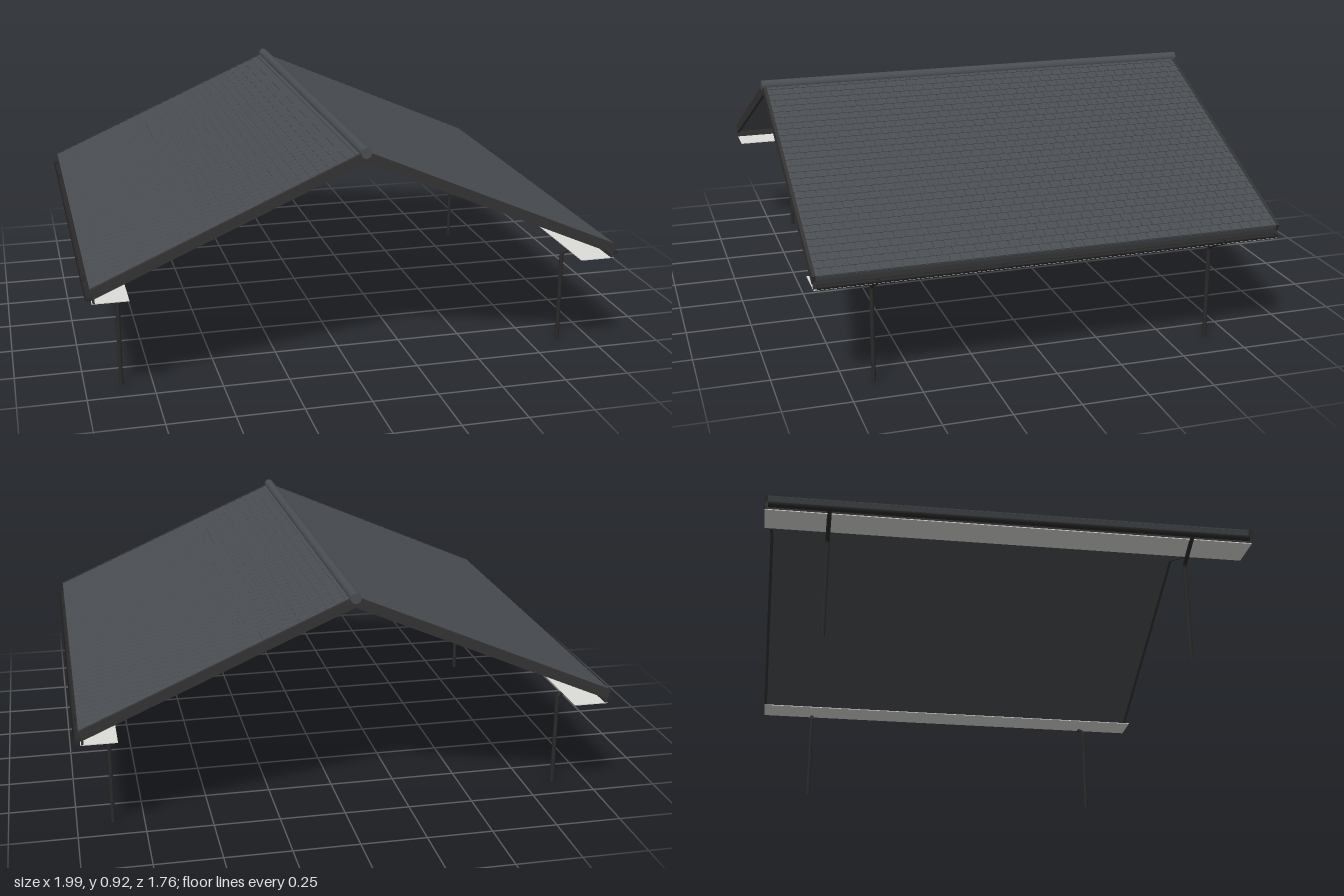
import * as THREE from 'three';
import { mergeGeometries } from 'three/addons/utils/BufferGeometryUtils.js';

const mat = (name, color, side = THREE.FrontSide) => {
  const m = new THREE.MeshStandardMaterial({ color, side });
  m.name = name;
  return m;
};

export function createModel() {
  const tileGrey = mat('tileGrey', 0x4a4e53);
  const trimDark = mat('trimDark', 0x343434);
  const gutterBlack = mat('gutterBlack', 0x2a2a2a, THREE.DoubleSide);
  const soffitWhite = mat('soffitWhite', 0xdcdcd8);

  const ANGLE = Math.atan(0.437), LENGTH = 1.068, HALF = 0.874;
  const model = new THREE.Group();
  model.name = 'gableRoof';

  const add = (parent, name, geometry, material, x = 0, y = 0, z = 0) => {
    const mesh = new THREE.Mesh(geometry, material);
    mesh.name = name;
    mesh.position.set(x, y, z);
    parent.add(mesh);
    return mesh;
  };
  const box = (w, h, d) => new THREE.BoxGeometry(w, h, d);

  // Overlapping courses of staggered tiles, each tilted up at its lower edge
  function tileCourses() {
    const rows = 30, cols = 42, parts = [];
    const dx = LENGTH / rows, dz = (2 * HALF - 0.016) / cols, z0 = -HALF + 0.008;
    for (let r = 0; r < rows; r++) {
      const shift = r % 2 ? dz / 2 : 0;
      for (let c = 0; c < cols + (r % 2); c++) {
        const a = Math.max(0, c * dz - shift), b = Math.min(cols * dz, (c + 1) * dz - shift);
        const g = box(dx, 0.005, b - a - 0.003);
        g.rotateZ(0.06);
        g.translate((r + 0.5) * dx, -0.003, z0 + (a + b) / 2);
        parts.push(g);
      }
    }
    return mergeGeometries(parts);
  }
  const tiles = tileCourses();

  // Half-round gutter channel, open at the top
  const gutter = new THREE.CylinderGeometry(0.013, 0.013, 1.72, 12, 1, true, -Math.PI / 2, Math.PI);
  gutter.rotateX(Math.PI / 2);

  // Downpipe: sloping offset below the gutter, then straight to the ground
  const path = new THREE.CurvePath();
  const v = (x, y) => new THREE.Vector3(x, y, 0);
  path.add(new THREE.LineCurve3(v(0.986, 0.43), v(0.878, 0.376)));
  path.add(new THREE.QuadraticBezierCurve3(v(0.878, 0.376), v(0.866, 0.37), v(0.866, 0.357)));
  path.add(new THREE.LineCurve3(v(0.866, 0.357), v(0.866, 0)));
  const pipe = new THREE.TubeGeometry(path, 60, 0.008, 10, false);

  for (const side of ['left', 'right']) {
    const half = new THREE.Group();
    half.name = side + 'Half';
    if (side === 'right') half.rotation.y = Math.PI;
    model.add(half);

    // Sloping roof plane
    const slope = new THREE.Group();
    slope.name = side + 'Slope';
    slope.position.y = 0.9;
    slope.rotation.z = -ANGLE;
    half.add(slope);
    add(slope, 'roofDeck', box(LENGTH, 0.024, 2 * HALF - 0.02), tileGrey, LENGTH / 2, -0.017);
    add(slope, 'roofTiles', tiles, tileGrey);
    for (const s of [-1, 1])
      add(slope, 'bargeBoard', box(LENGTH + 0.004, 0.037, 0.012), trimDark, LENGTH / 2, -0.0175, s * (HALF - 0.006));

    // Eave
    add(half, 'fascia', box(0.008, 0.04, 1.74), trimDark, 0.967, 0.441);
    add(half, 'soffit', box(0.13, 0.003, 1.74), soffitWhite, 0.909, 0.42);
    add(half, 'gutter', gutter, gutterBlack, 0.984, 0.438);
    for (const s of [-1, 1]) {
      const cap = add(half, 'gutterEnd', new THREE.CircleGeometry(0.013, 12, Math.PI, Math.PI), gutterBlack, 0.984, 0.438, s * 0.86);
      cap.name = s > 0 ? 'gutterEndA' : 'gutterEndB';
      add(half, 'downpipe', pipe, gutterBlack, 0, 0, s * 0.648);
    }
  }

  // Round ridge cap
  const ridge = new THREE.CylinderGeometry(0.02, 0.02, 1.76, 16);
  ridge.rotateX(Math.PI / 2);
  add(model, 'ridgeCap', ridge, tileGrey, 0, 0.896);

  return model;
}
